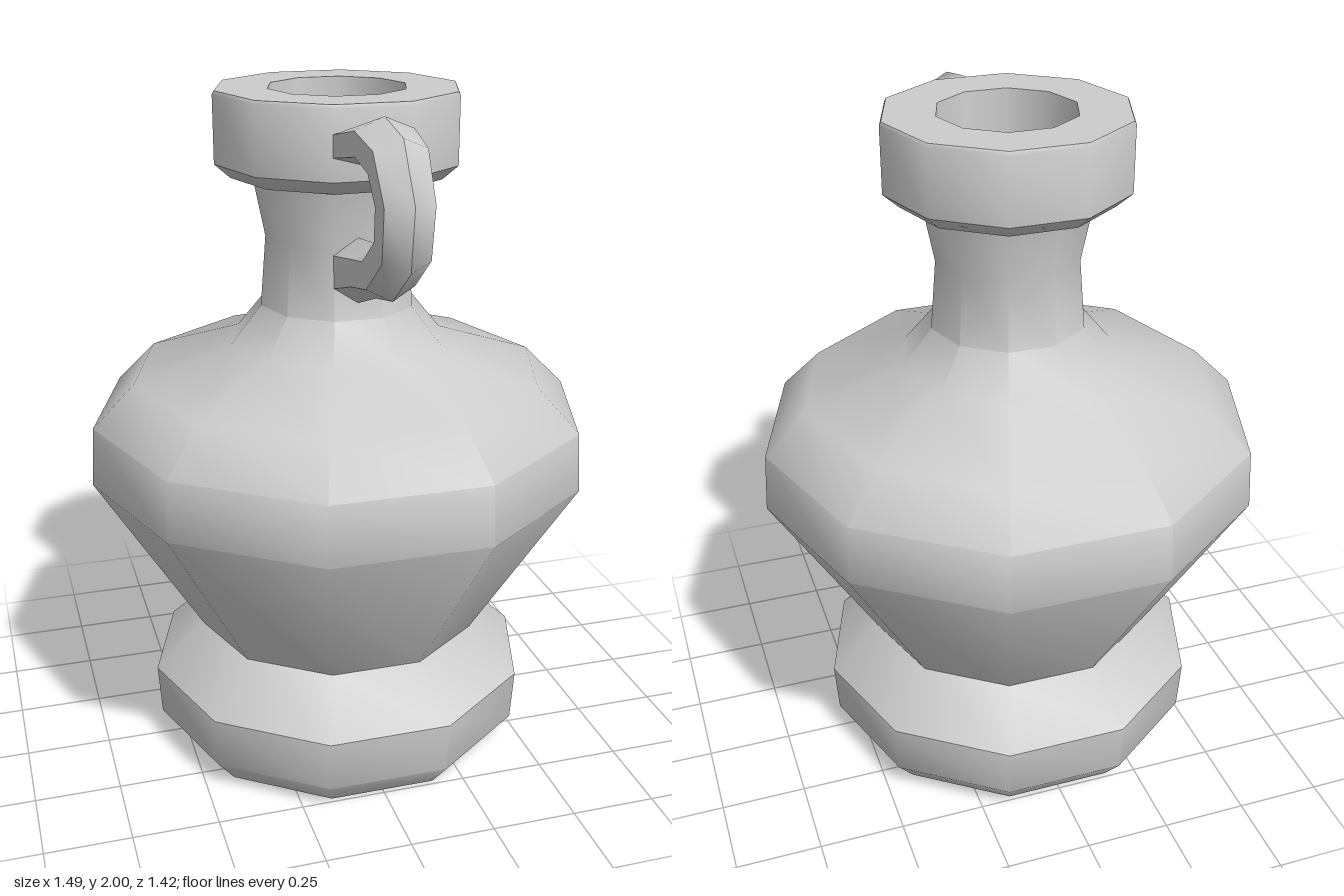
import * as THREE from 'three';
import { toCreasedNormals } from 'three/addons/utils/BufferGeometryUtils.js';

const SIDES = 10;
const material = new THREE.MeshStandardMaterial({ color: 0xcccccc });

function part(name, geometry) {
  const mesh = new THREE.Mesh(toCreasedNormals(geometry, 0.8), material);
  mesh.name = name;
  return mesh;
}

// Ten-sided turned shape with a corner on the x axis
function turned(profile) {
  const points = profile.map(([r, y]) => new THREE.Vector2(r, y));
  return new THREE.LatheGeometry(points, SIDES, Math.PI / 2);
}

// Six-sided tube; each section is [outer z, outer y, inner z, inner y, half width]
function handleGeometry(sections) {
  const n = 6, positions = [], index = [];
  sections.forEach(([zo, yo, zi, yi, hw], i) => {
    for (let k = 0; k < n; k++) {
      const a = (k / n) * Math.PI * 2, f = (1 + Math.cos(a)) / 2;
      positions.push(
        -Math.sin(a) * hw / Math.sin(Math.PI / 3),
        yi + (yo - yi) * f,
        zi + (zo - zi) * f
      );
      if (i < sections.length - 1) {
        const p = i * n + k, q = i * n + (k + 1) % n;
        index.push(p, q, p + n, q, q + n, p + n);
      }
    }
  });
  const geometry = new THREE.BufferGeometry();
  geometry.setAttribute('position', new THREE.Float32BufferAttribute(positions, 3));
  geometry.setIndex(index);
  return geometry;
}

export function createModel() {
  const group = new THREE.Group();
  group.name = 'jug';

  // Foot, belly, shoulder and neck
  group.add(part('body', turned([
    [0, 0], [0.51, 0], [0.575, 0.08], [0.585, 0.235], [0.435, 0.375],
    [0.745, 0.88], [0.735, 1.055], [0.61, 1.18], [0.32, 1.275],
    [0.23, 1.385], [0.213, 1.59], [0.247, 1.76],
  ])));

  // Thick collar, with the mouth and its floor inside
  group.add(part('rim', turned([
    [0.24, 1.76], [0.31, 1.76], [0.355, 1.8], [0.355, 1.99], [0.35, 2],
    [0.2, 2], [0.17, 1.6], [0.165, 1.5], [0, 1.5],
  ])));

  // Loop handle on the front, from rim to neck
  group.add(part('handle', handleGeometry([
    [0.31, 1.95, 0.31, 1.83, 0.11],
    [0.34, 1.955, 0.34, 1.835, 0.11],
    [0.425, 1.98, 0.43, 1.85, 0.08],
    [0.575, 1.95, 0.495, 1.825, 0.072],
    [0.672, 1.8, 0.525, 1.775, 0.067],
    [0.65, 1.63, 0.515, 1.71, 0.065],
    [0.51, 1.52, 0.44, 1.65, 0.067],
    [0.37, 1.49, 0.37, 1.64, 0.07],
    [0.19, 1.425, 0.19, 1.615, 0.07],
  ])));

  return group;
}
